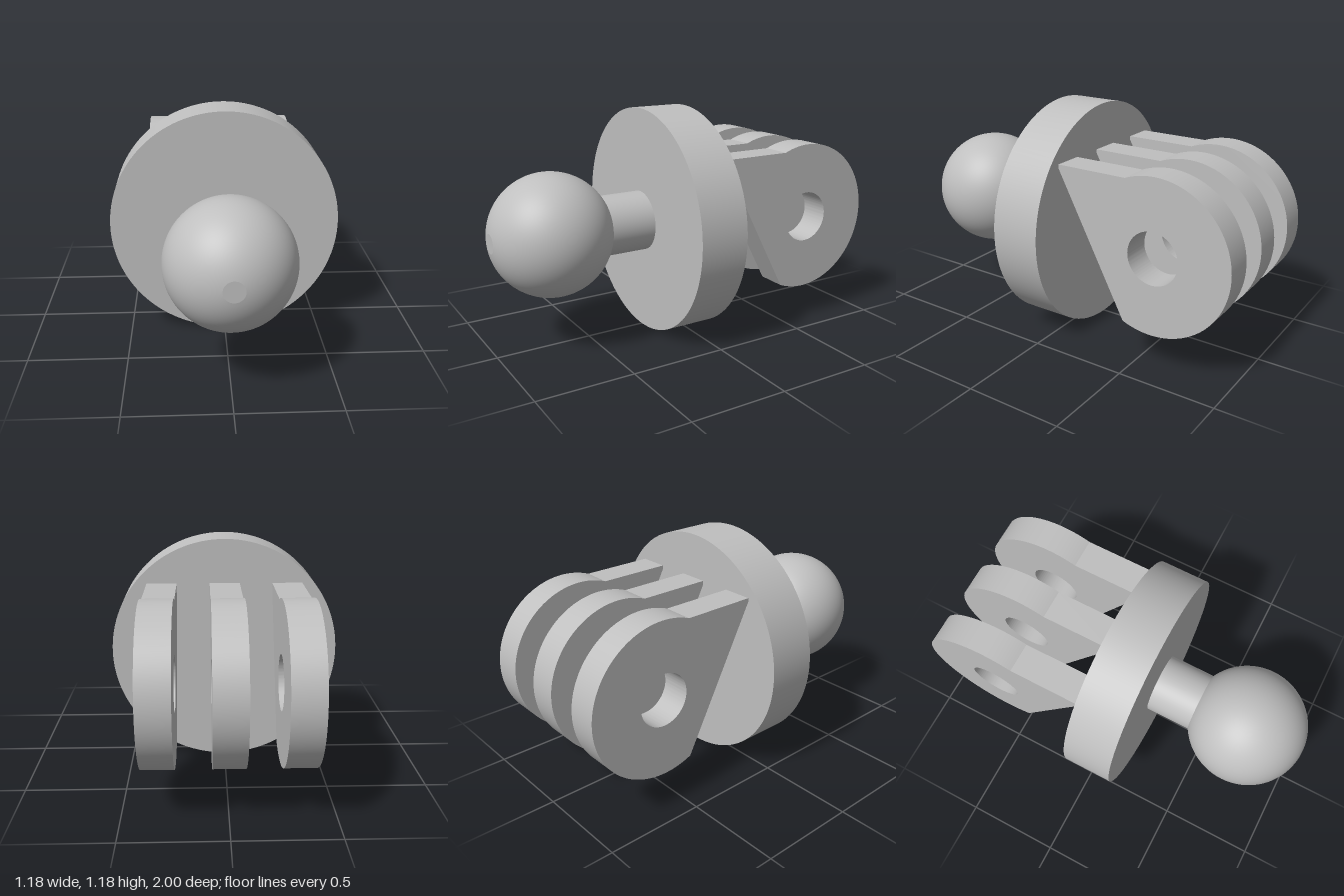
import * as THREE from 'three';
import { toCreasedNormals } from 'three/addons/utils/BufferGeometryUtils.js';

const CENTER_Y = 0.591;

export function createModel() {
  const group = new THREE.Group();
  const grey = new THREE.MeshStandardMaterial({ color: 0xbfbfbf });
  grey.name = 'grey plastic';

  const add = (name, geometry, x = 0, z = 0) => {
    const mesh = new THREE.Mesh(geometry, grey);
    mesh.name = name;
    mesh.position.set(x, CENTER_Y, z);
    group.add(mesh);
  };
  const discAlongZ = (radius, z0, z1) =>
    new THREE.CylinderGeometry(radius, radius, z1 - z0, 128)
      .rotateX(Math.PI / 2).translate(0, 0, (z0 + z1) / 2);

  // Round base plate and the stem of the ball
  add('basePlate', discAlongZ(0.591, -0.08, 0.18));
  add('stem', discAlongZ(0.156, 0.17, 0.45));

  // Ball with a small flat at its tip
  const ballRadius = 0.313, flatRadius = 0.05;
  const tip = Math.asin(flatRadius / ballRadius);
  const profile = [];
  for (let i = 0; i <= 64; i++) {
    const a = Math.PI + (tip - Math.PI) * i / 64;
    profile.push(new THREE.Vector2(ballRadius * Math.sin(a), ballRadius * Math.cos(a)));
  }
  const ballZ = 1 - ballRadius * Math.cos(tip);
  add('ball', new THREE.LatheGeometry(profile, 96).rotateX(Math.PI / 2), 0, ballZ);
  add('ballFlat', new THREE.CircleGeometry(flatRadius, 48), 0, 1);

  // Three prongs: straight neck, round eye and a pin hole
  const half = 0.362, eyeRadius = 0.393, eyeX = 0.607, thickness = 0.156;
  const end = Math.PI - Math.asin(half / eyeRadius);
  const outline = new THREE.Shape();
  outline.moveTo(0.07, -half);
  outline.absarc(eyeX, 0, eyeRadius, -end, end, false);
  outline.lineTo(0.07, half);
  outline.closePath();
  const hole = new THREE.Path();
  hole.absarc(eyeX, 0, 0.133, 0, Math.PI * 2, true);
  outline.holes.push(hole);
  const prong = toCreasedNormals(
    new THREE.ExtrudeGeometry(outline, { depth: thickness, bevelEnabled: false, curveSegments: 64 })
      .translate(0, 0, -thickness / 2).rotateY(Math.PI / 2), 0.2);
  [['rightProng', -0.326], ['middleProng', -0.001], ['leftProng', 0.325]]
    .forEach(([name, x]) => add(name, prong, x));

  return group;
}
